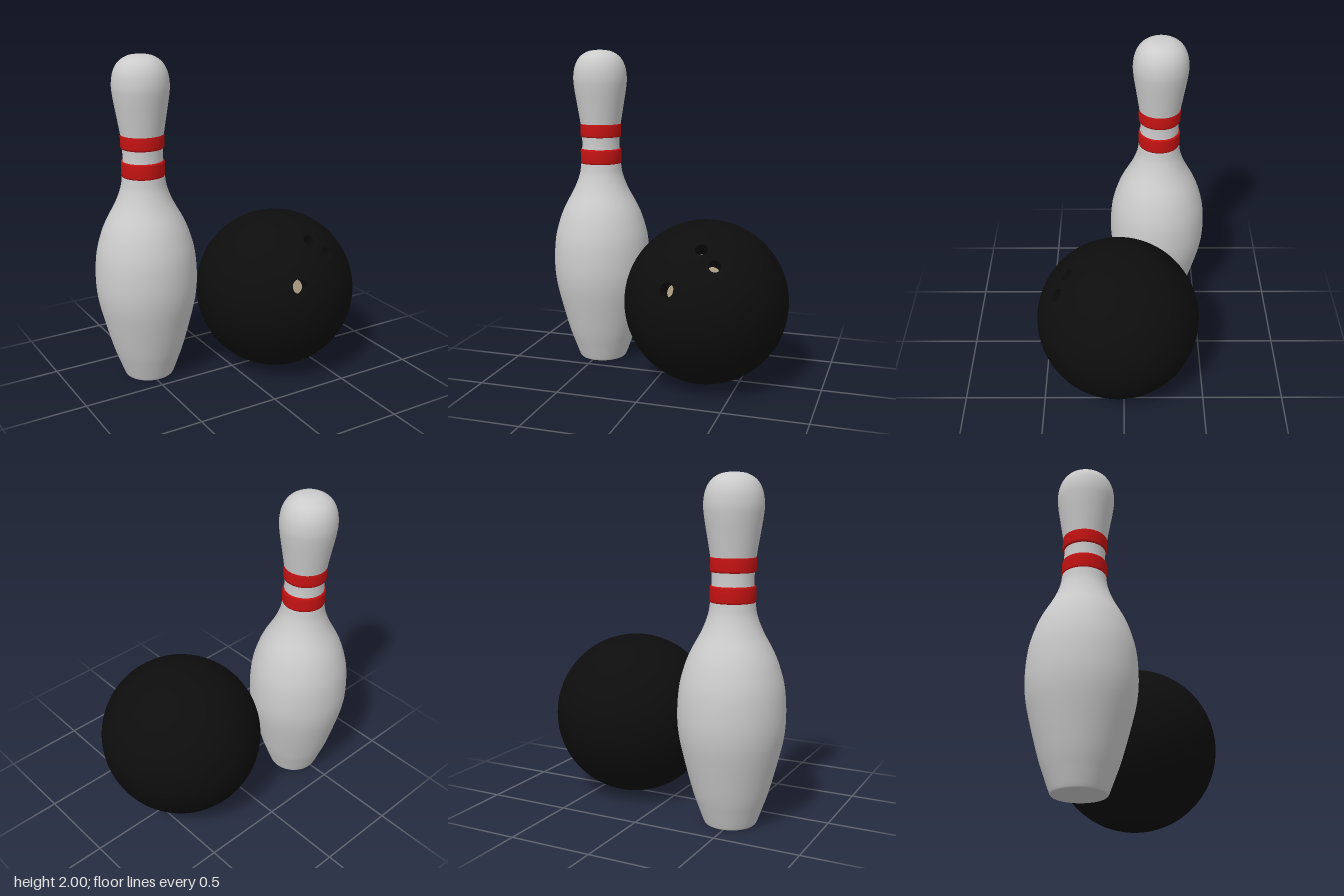
import * as THREE from 'three';

const mat = (color, side = THREE.FrontSide) => new THREE.MeshStandardMaterial({ color, side });

function add(parent, name, geometry, material) {
  const mesh = new THREE.Mesh(geometry, material);
  mesh.name = name;
  parent.add(mesh);
  return mesh;
}

// Smooth lathe through [radius, height] points listed from bottom to top
function turned(points, steps) {
  const curve = new THREE.SplineCurve(points.map(([r, y]) => new THREE.Vector2(r, y)));
  const profile = curve.getPoints(steps);
  profile.forEach((p) => { p.x = Math.max(p.x, 0); });
  return new THREE.LatheGeometry(profile, 64);
}

function createPin() {
  const pin = new THREE.Group();
  pin.name = 'pin';
  const white = mat(0xcccccc);
  const red = mat(0xc41212);

  // Belly, neck and rounded head in one profile
  const profile = [
    [0.148, 0], [0.157, 0.015], [0.188, 0.1], [0.222, 0.2], [0.275, 0.4], [0.302, 0.53],
    [0.31, 0.65], [0.3, 0.8], [0.27, 0.92], [0.234, 1.01], [0.175, 1.12], [0.14, 1.21],
    [0.128, 1.28], [0.122, 1.35], [0.119, 1.42], [0.122, 1.49], [0.13, 1.55],
    [0.148, 1.66], [0.164, 1.76], [0.169, 1.83], [0.158, 1.9], [0.128, 1.955],
    [0.08, 1.988], [0.035, 1.998], [0, 2],
  ];
  add(pin, 'pinBody', turned(profile, 120), white);
  const base = add(pin, 'pinBase', new THREE.CircleGeometry(0.148, 64), white);
  base.rotation.x = Math.PI / 2;

  // Raised neck bands
  for (const [name, bottom, top] of [['lowerBand', 1.285, 1.38], ['upperBand', 1.455, 1.543]]) {
    const h = top - bottom;
    const band = [
      [0.115, bottom], [0.127, bottom + 0.001], [0.13, bottom + 0.012],
      [0.13, bottom + h / 2], [0.13, top - 0.012], [0.127, top - 0.001], [0.115, top],
    ];
    const geometry = new THREE.LatheGeometry(band.map(([r, y]) => new THREE.Vector2(r, y)), 64);
    add(pin, name, geometry, red);
  }
  return pin;
}

const BALL_RADIUS = 0.497;
const HOLES = [
  { name: 'thumbHole', axis: [-0.117, 0.18, 0.448], radius: 0.045 },
  { name: 'innerFingerHole', axis: [0.047, 0.39, 0.3], radius: 0.038 },
  { name: 'outerFingerHole', axis: [0.138, 0.315, 0.358], radius: 0.038 },
];

// Sphere with round openings: faces inside a hole are dropped, their rim corners snapped to its edge
function drilledSphere() {
  const geometry = new THREE.SphereGeometry(BALL_RADIUS, 180, 120);
  const pos = geometry.attributes.position;
  const normal = geometry.attributes.normal;
  const owner = new Int8Array(pos.count).fill(-1);
  const v = new THREE.Vector3();
  HOLES.forEach((hole, k) => {
    const axis = new THREE.Vector3(...hole.axis).normalize();
    const angle = Math.asin(hole.radius / BALL_RADIUS);
    for (let i = 0; i < pos.count; i++) {
      v.fromBufferAttribute(pos, i).normalize();
      if (v.angleTo(axis) >= angle) continue;
      owner[i] = k;
      const outward = v.addScaledVector(axis, -v.dot(axis)).normalize();
      outward.multiplyScalar(Math.sin(angle)).addScaledVector(axis, Math.cos(angle));
      normal.setXYZ(i, outward.x, outward.y, outward.z);
      outward.multiplyScalar(BALL_RADIUS);
      pos.setXYZ(i, outward.x, outward.y, outward.z);
    }
  });
  const kept = [];
  const index = geometry.index;
  for (let i = 0; i < index.count; i += 3) {
    const [a, b, c] = [index.getX(i), index.getX(i + 1), index.getX(i + 2)];
    if (owner[a] >= 0 && owner[b] >= 0 && owner[c] >= 0) continue;
    kept.push(a, b, c);
  }
  geometry.setIndex(kept);
  return geometry;
}

function createBall() {
  const ball = new THREE.Group();
  ball.name = 'ball';
  const black = mat(0x0d0d0d);
  const bore = mat(0x0d0d0d, THREE.DoubleSide);
  const tan = mat(0xa89880, THREE.DoubleSide);
  add(ball, 'ballShell', drilledSphere(), black);

  // Finger holes: dark walls with a pale floor
  const depth = 0.09;
  for (const { name, axis, radius } of HOLES) {
    const hole = new THREE.Group();
    hole.name = name;
    const rim = Math.sqrt(BALL_RADIUS ** 2 - radius ** 2);
    const wall = add(hole, 'holeWall', new THREE.CylinderGeometry(radius, radius, depth, 32, 1, true), bore);
    wall.position.y = rim - depth / 2;
    const floor = add(hole, 'holeFloor', new THREE.CircleGeometry(radius, 32), tan);
    floor.rotation.x = -Math.PI / 2;
    floor.position.y = rim - depth;
    hole.quaternion.setFromUnitVectors(new THREE.Vector3(0, 1, 0), new THREE.Vector3(...axis).normalize());
    ball.add(hole);
  }
  return ball;
}

export function createModel() {
  const model = new THREE.Group();
  model.name = 'bowlingSet';
  const pin = createPin();
  pin.position.set(-0.48, 0, -0.223);
  const ball = createBall();
  ball.position.set(0.293, 0.503, 0.036);
  model.add(pin, ball);
  return model;
}
